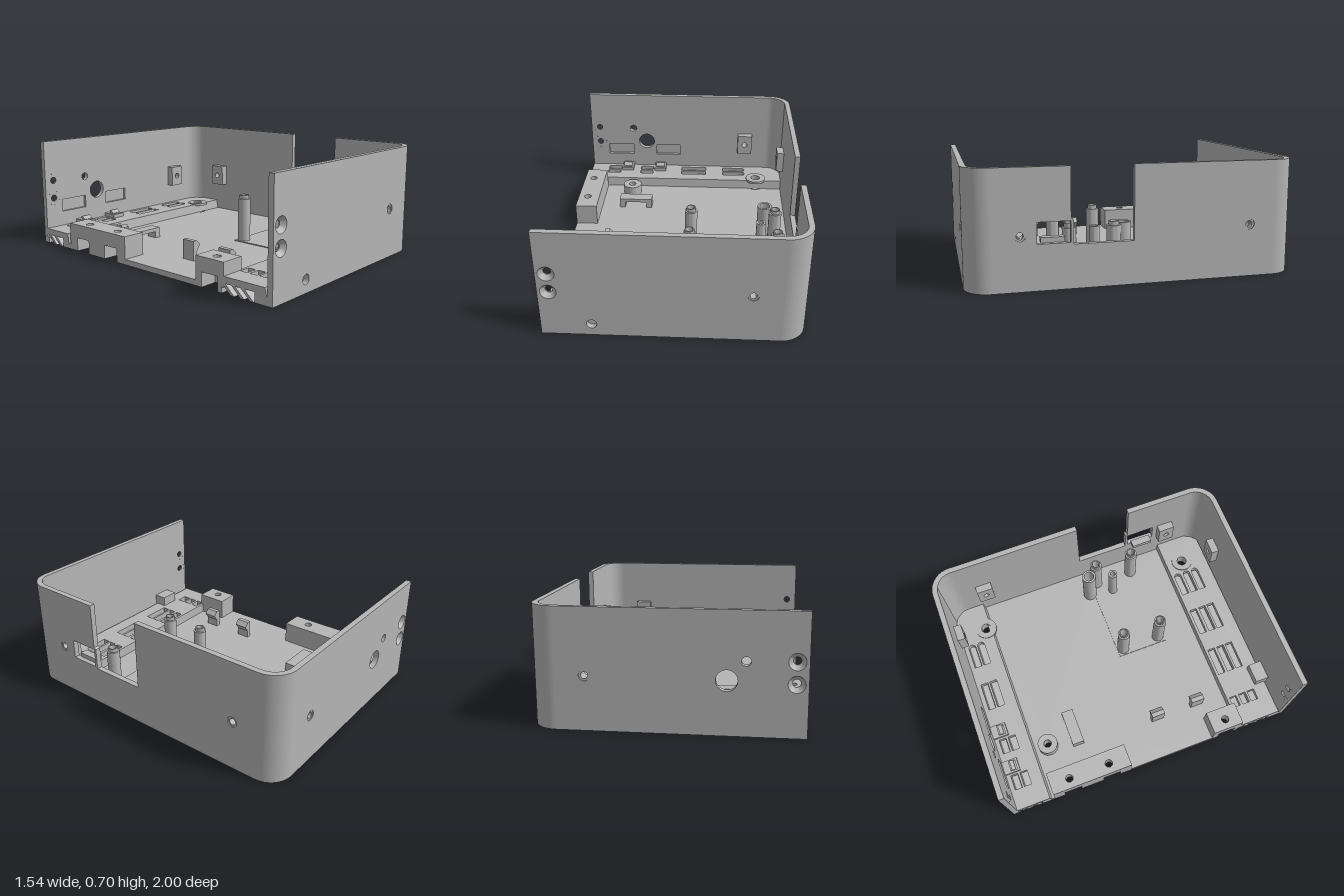
import * as THREE from 'three';
import { toCreasedNormals } from 'three/addons/utils/BufferGeometryUtils.js';

export function createModel() {
  const root = new THREE.Group();
  const grey = new THREE.MeshStandardMaterial({ color: 0xb6b6b6, side: THREE.DoubleSide });
  grey.name = 'plainGrey';
  const H = 0.705, T = 0.035, X0 = -0.775, X1 = 0.77, R = 0.15;

  const add = (name, geo, x = 0, y = 0, z = 0) => {
    const m = new THREE.Mesh(geo, grey);
    m.name = name;
    m.position.set(x, y, z);
    root.add(m);
    return m;
  };
  const poly = (pts) => new THREE.Shape(pts.map(([a, b]) => new THREE.Vector2(a, b)));
  const rect = (a0, a1, b0, b1) => poly([[a0, b0], [a1, b0], [a1, b1], [a0, b1]]);
  const disc = (a, b, r) => new THREE.Shape().absarc(a, b, r, 0, Math.PI * 2);
  const cut = (shape, holes) => { shape.holes.push(...holes); return shape; };
  const extrude = (shape, depth) => toCreasedNormals(
    new THREE.ExtrudeGeometry(shape, { depth, bevelEnabled: false, curveSegments: 20 }), 0.5);
  // Horizontal plate: shape drawn in (x, -z), from height y0 to y1
  const flat = (name, shape, y0, y1) => add(name, extrude(shape, y1 - y0).rotateX(-Math.PI / 2), 0, y0, 0);
  const flatRect = (x0, x1, z0, z1) => rect(x0, x1, -z1, -z0);
  const box = (name, x0, x1, y0, y1, z0, z1) => add(name,
    new THREE.BoxGeometry(x1 - x0, y1 - y0, z1 - z0), (x0 + x1) / 2, (y0 + y1) / 2, (z0 + z1) / 2);
  // Bar along x with a (z, y) profile
  const bar = (name, pts, x0, x1) => add(name, extrude(poly(pts), x1 - x0).rotateY(-Math.PI / 2), x1, 0, 0);
  const lathe = (pts) => toCreasedNormals(
    new THREE.LatheGeometry(pts.map(([a, b]) => new THREE.Vector2(a, b)), 28), 0.5);

  // Side walls with screw holes
  const sink = [[0.048, 0], [0.022, 0], [0.022, 0.008], [0.048, T]];
  const ring = [[0.032, 0], [0.02, 0], [0.02, 0.03], [0.032, 0.03]];
  const pair = () => [disc(-0.71, 0.43, 0.048), disc(-0.71, 0.305, 0.048), disc(0.45, 0.32, 0.032)];
  add('frontWall', extrude(cut(rect(X0, X1 - R, 0, H), [...pair(), disc(-0.475, 0.08, 0.03)]), T), 0, 0, 1 - T);
  add('backWall', extrude(cut(rect(X0, X1 - R, 0, H),
    [...pair(), disc(-0.335, 0.315, 0.06), disc(-0.44, 0.425, 0.026),
      rect(-0.64, -0.44, 0.2, 0.285), rect(-0.255, -0.065, 0.2, 0.285)]), T), 0, 0, -1);
  for (const x of [-0.54, -0.16]) box('wallPocketBack', x - 0.1, x + 0.1, 0.2, 0.285, -1, -0.985);
  const e = 1 - R;
  const side = cut(poly([[-e, 0], [e, 0], [e, H], [0.4, H], [0.4, 0.41], [0.385, 0.4],
    [0.385, 0.26], [0.03, 0.26], [0.03, H], [-e, H]]),
  [rect(0.402, 0.595, 0.27, 0.395), disc(0.69, 0.32, 0.032), disc(-0.69, 0.32, 0.032)]);
  add('sideWall', extrude(side, T).rotateY(-Math.PI / 2), X1, 0, 0);

  // Rounded corners and the screw seats, mirrored front to back
  for (const s of [1, -1]) {
    const c = new THREE.Shape();
    const a0 = s > 0 ? -Math.PI / 2 : 0, a1 = a0 + Math.PI / 2;
    c.absarc(X1 - R, -s * e, R, a0, a1, false);
    c.absarc(X1 - R, -s * e, R - T, a1, a0, true);
    flat('roundedCorner', c, 0, H);
    for (const [x, y, p] of [[-0.71, 0.43, sink], [-0.71, 0.305, sink], [0.45, 0.32, ring]])
      add('screwSeat', lathe(p), x, y, s * (1 - T)).rotation.x = s * Math.PI / 2;
    add('sideScrewSeat', lathe(ring), X1 - T, 0.32, s * 0.69).rotation.z = -Math.PI / 2;
    // Nut holders on the inside of the walls
    const tab = () => cut(rect(-0.055, 0.055, -0.075, 0.075), [disc(0, 0, 0.02)]);
    add('nutHolder', extrude(tab(), 0.05), 0.45, 0.32, s > 0 ? 0.915 : -0.965);
    add('sideNutHolder', extrude(tab(), 0.05).rotateY(-Math.PI / 2), X1 - T, 0.32, s * 0.685);
  }

  // Floor with vent openings, edge notches and screw holes
  const F = 0.035;
  const notches = [-0.57, -0.29, 0.56];
  const floor = new THREE.Shape();
  floor.moveTo(X0, 1);
  floor.lineTo(X0, 0.95);
  floor.lineTo(0.47, 0.95).lineTo(0.47, 0.79).lineTo(X0, 0.79);
  for (const z of notches) {
    if (z > 0) continue;
    floor.lineTo(X0, -z + 0.06).lineTo(-0.66, -z + 0.06).lineTo(-0.66, -z - 0.06).lineTo(X0, -z - 0.06);
  }
  floor.lineTo(X0, -0.5).lineTo(-0.66, -0.5).lineTo(-0.66, -0.62).lineTo(X0, -0.62);
  floor.lineTo(X0, -0.65).lineTo(0.47, -0.65).lineTo(0.47, -0.88).lineTo(X0, -0.88).lineTo(X0, -1);
  floor.lineTo(X1 - R, -1);
  floor.absarc(X1 - R, -e, R, -Math.PI / 2, 0, false);
  floor.absarc(X1 - R, e, R, 0, Math.PI / 2, false);
  floor.closePath();
  cut(floor, [disc(0.56, -0.04, 0.034), disc(0.53, -0.21, 0.018), disc(-0.42, 0.63, 0.026),
    disc(0.54, 0.77, 0.06), disc(0.54, -0.77, 0.06)]);
  flat('floor', floor, 0, F);

  // Raised vent panels: slotted top, open frame and slanted louvres
  const vents = [
    { z0: -0.965, z1: -0.75, o0: -0.95, o1: -0.79, rows: [-0.91, -0.845], ends: [-0.54, -0.28], bolt: -0.77 },
    { z0: 0.655, z1: 0.95, o0: 0.65, o1: 0.88, rows: [0.695, 0.765, 0.83], ends: [-0.565, -0.185], bolt: 0.77 },
  ];
  for (const v of vents) {
    const outline = () => v.z0 < 0
      ? poly([[X0, -v.z1], [0.735, -v.z1], [0.735, 0.88], [0.69, 0.945], [0.64, 0.965], [X0, 0.965]])
      : poly([[X0, -0.95], [0.67, -0.95], [0.715, -0.91], [0.735, -0.86], [0.735, -0.655], [X0, -0.655]]);
    const low = v.z0 < 0
      ? poly([[0.47, 0.75], [0.735, 0.75], [0.735, 0.88], [0.69, 0.945], [0.47, 0.965]])
      : poly([[0.47, -0.95], [0.67, -0.95], [0.735, -0.86], [0.735, -0.655], [0.47, -0.655]]);
    flat('ventPanelEnd', cut(low, [disc(0.54, -v.bolt, 0.036)]), F, 0.06);
    if (v.z0 < 0) box('ventRail', X0, 0.47, F, 0.06, v.o1, v.z1);
    else box('ventRail', X0, 0.47, F, 0.06, v.o1, 0.95);
    const slots = [disc(0.54, -v.bolt, 0.036)];
    for (const z of v.rows) {
      slots.push(flatRect(-0.64, v.ends[0], z - 0.025, z + 0.025),
        flatRect(-0.38, v.ends[1], z - 0.025, z + 0.025),
        flatRect(-0.05, 0.145, z - 0.025, z + 0.025));
      const r = new THREE.Shape();
      r.moveTo(0.28, -z - 0.025).lineTo(0.43, -z - 0.025);
      r.absarc(0.43, -z, 0.025, -Math.PI / 2, Math.PI / 2, false);
      r.lineTo(0.28, -z + 0.025);
      slots.push(r);
      bar('louvre', [[z + 0.02, 0], [z + 0.045, 0], [z - 0.02, 0.06], [z - 0.045, 0.06]], X0, 0.47);
    }
    flat('ventPanel', cut(outline(), slots), 0.06, 0.1);
    // Raised bolt seat, countersunk from below
    add('boltSeat', lathe([[0.06, 0], [0.036, 0.03], [0.034, 0.108], [0.075, 0.108], [0.075, 0.09]]), 0.54, 0, v.bolt);
  }
  bar('backVentSlope', [[-0.75, F], [-0.725, F], [-0.735, 0.1], [-0.75, 0.1]], X0, 0.735);
  bar('frontVentSlope', [[0.95, F], [0.965, F], [0.95, 0.1]], X0, 0.62);
  bar('frontVentStep', [[0.648, F], [0.657, F], [0.657, 0.1], [0.65, 0.1]], X0, 0.735);

  // Mounting blocks along the open edge, undercut below each screw
  for (const [z0, z1, holes] of [[-0.705, -0.15, [-0.57, -0.29]], [0.455, 0.665, [0.56]]]) {
    flat('edgeBlock', cut(flatRect(X0, -0.625, z0, z1), holes.map((z) => disc(-0.71, -z, 0.025))), 0.09, 0.18);
    let from = z0;
    for (const z of [...holes, null]) {
      box('edgeBlockLeg', X0, -0.66, F, 0.09, from, z === null ? z1 : z - 0.06);
      from = z + 0.06;
    }
    box('edgeBlockRear', -0.66, -0.625, F, 0.09, z0, z1);
  }

  // Circuit board pad with four stepped standoffs
  flat('boardPad', cut(flatRect(0.015, 0.675, 0.07, 0.43),
    [disc(0.56, -0.04, 0.034), disc(0.53, -0.21, 0.018)].slice(1)), F, F + 0.006);
  for (const x of [0.065, 0.625]) for (const z of [0.115, 0.385])
    add('standoff', lathe([[0.042, F], [0.042, 0.33], [0.031, 0.33], [0.031, 0.355],
      [0.024, 0.355], [0.016, 0.32], [0.016, 0.25], [0, 0.25]]), x, 0, z);
  const tube = (name, x, z, r, h, top) =>
    add(name, lathe([[h, 0.01], [r, 0.01], [r, top], [h, top], [h, 0.01]]), x, 0, z);
  tube('largePost', 0.56, 0.04, 0.048, 0.034, 0.335);
  tube('smallPost', 0.53, 0.21, 0.032, 0.018, 0.31);
  tube('floorBoss', -0.42, -0.63, 0.068, 0.026, 0.105);

  // Cable bridge
  box('bridgeBar', -0.49, -0.25, 0.08, 0.105, -0.47, -0.39);
  for (const x of [-0.49, -0.29]) box('bridgeLeg', x, x + 0.04, F, 0.08, -0.47, -0.39);

  // Snap hooks on the floor
  for (const z of [0.105, 0.4])
    add('floorHook', extrude(poly([[-0.52, F], [-0.49, F], [-0.49, 0.09], [-0.46, 0.13], [-0.49, 0.16], [-0.52, 0.16]]), 0.09), 0, 0, z);

  // Clip frames by the back wall
  for (const x of [-0.483, -0.222]) {
    flat('clipFrame', cut(flatRect(x - 0.045, x + 0.045, -0.965, -0.86),
      [flatRect(x - 0.033, x + 0.033, -0.92, -0.875)]), 0.1, 0.125);
    bar('clipHook', [[-0.92, 0.1], [-0.89, 0.1], [-0.885, 0.13], [-0.91, 0.15], [-0.92, 0.15]], x - 0.033, x + 0.033);
  }

  // Front screw block with a blind hole, and the ledge behind the window
  box('frontScrewBlock', -0.54, -0.41, F, 0.17, 0.875, 0.966);
  box('windowLedge', 0.69, 0.74, 0.27, 0.3, 0.43, 0.57);

  return root;
}
